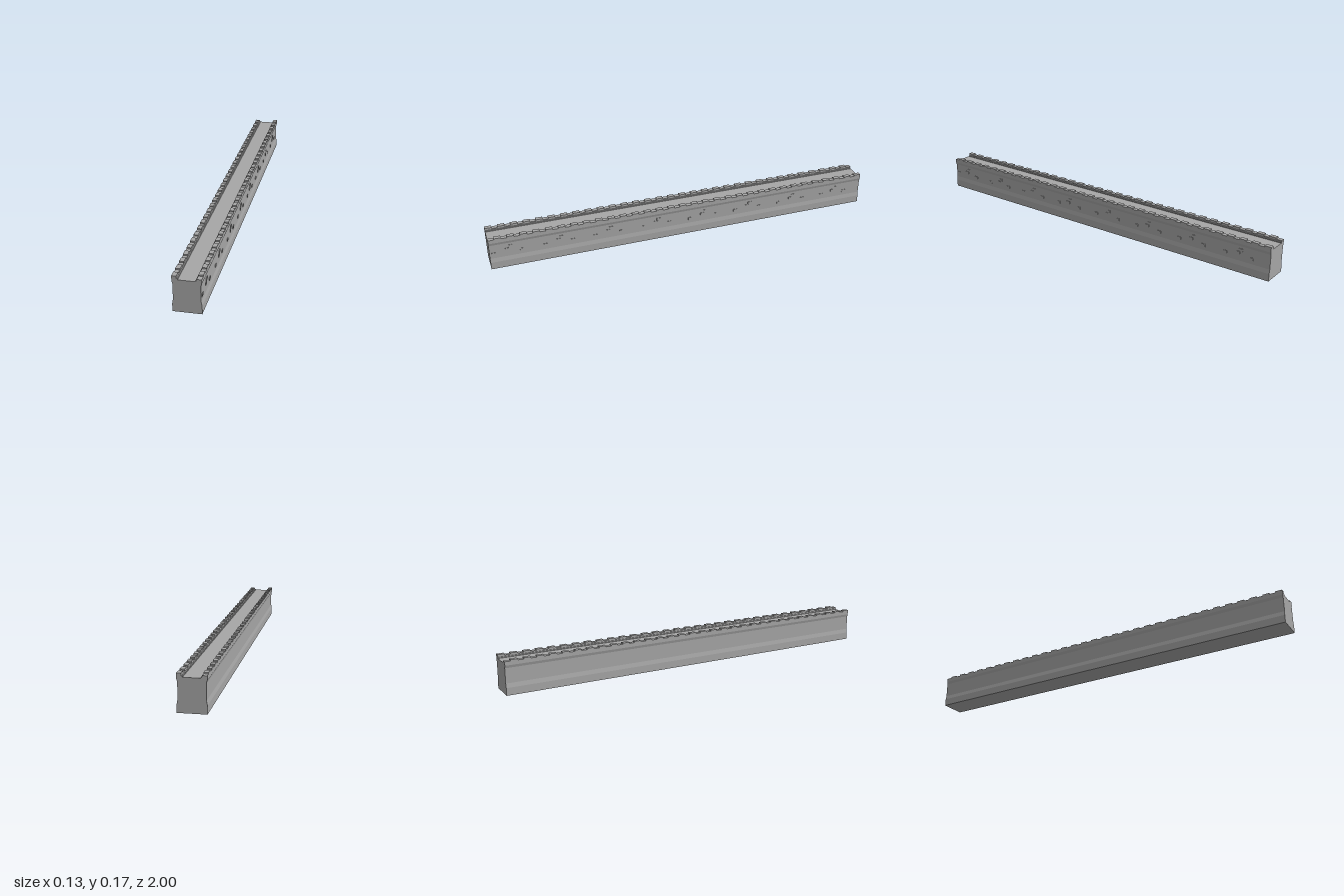
import * as THREE from 'three';

export function createModel() {
  const model = new THREE.Group();
  model.name = 'castleWall';
  const stone = new THREE.MeshStandardMaterial({ color: 0xa6a6a6 });
  stone.name = 'grey stone';

  const addBox = (parent, name, size, position) => {
    const mesh = new THREE.Mesh(new THREE.BoxGeometry(...size), stone);
    mesh.name = name;
    mesh.position.set(...position);
    parent.add(mesh);
  };

  // Wall body: half profile from the foot up to the walkway edge, then mirrored
  const half = [
    [0.064, 0], [0.064, 0.037], [0.06, 0.058], [0.06, 0.131], [0.064, 0.144],
    [0.064, 0.163], [0.043, 0.163], [0.043, 0.157], [0.038, 0.157], [0.038, 0.152],
  ];
  const mirrored = half.map(([x, y]) => [-x, y]).reverse();
  const profile = new THREE.Shape([...half, ...mirrored].map(([x, y]) => new THREE.Vector2(x, y)));
  const wallGeometry = new THREE.ExtrudeGeometry(profile, { depth: 2, bevelEnabled: false });
  wallGeometry.translate(0, 0, -1);
  const wall = new THREE.Mesh(wallGeometry, stone);
  wall.name = 'wallBody';
  model.add(wall);

  // Merlons on both parapets, the two rows turned half round from each other
  const merlons = new THREE.Group();
  merlons.name = 'merlons';
  model.add(merlons);
  const pitch = 0.0625, length = 0.034;
  for (const side of [1, -1]) {
    for (let i = 0; i < 32; i++) {
      const z = -1 + length / 2 + i * pitch;
      addBox(merlons, 'merlon', [0.021, 0.008, length], [side * 0.0535, 0.165, side * z]);
    }
  }

  // Raised bricks on the outer face, four in each of eight wall sections
  const bricks = new THREE.Group();
  bricks.name = 'raisedBricks';
  model.add(bricks);
  const pattern = [[0.021, 0.083], [0.087, 0.098], [0.102, 0.113], [0.157, 0.083]];
  for (let section = 0; section < 8; section++) {
    for (const [d, y] of pattern) {
      addBox(bricks, 'brick', [0.006, 0.013, 0.02], [0.0595, y, 1 - section * 0.25 - d]);
    }
  }
  return model;
}
